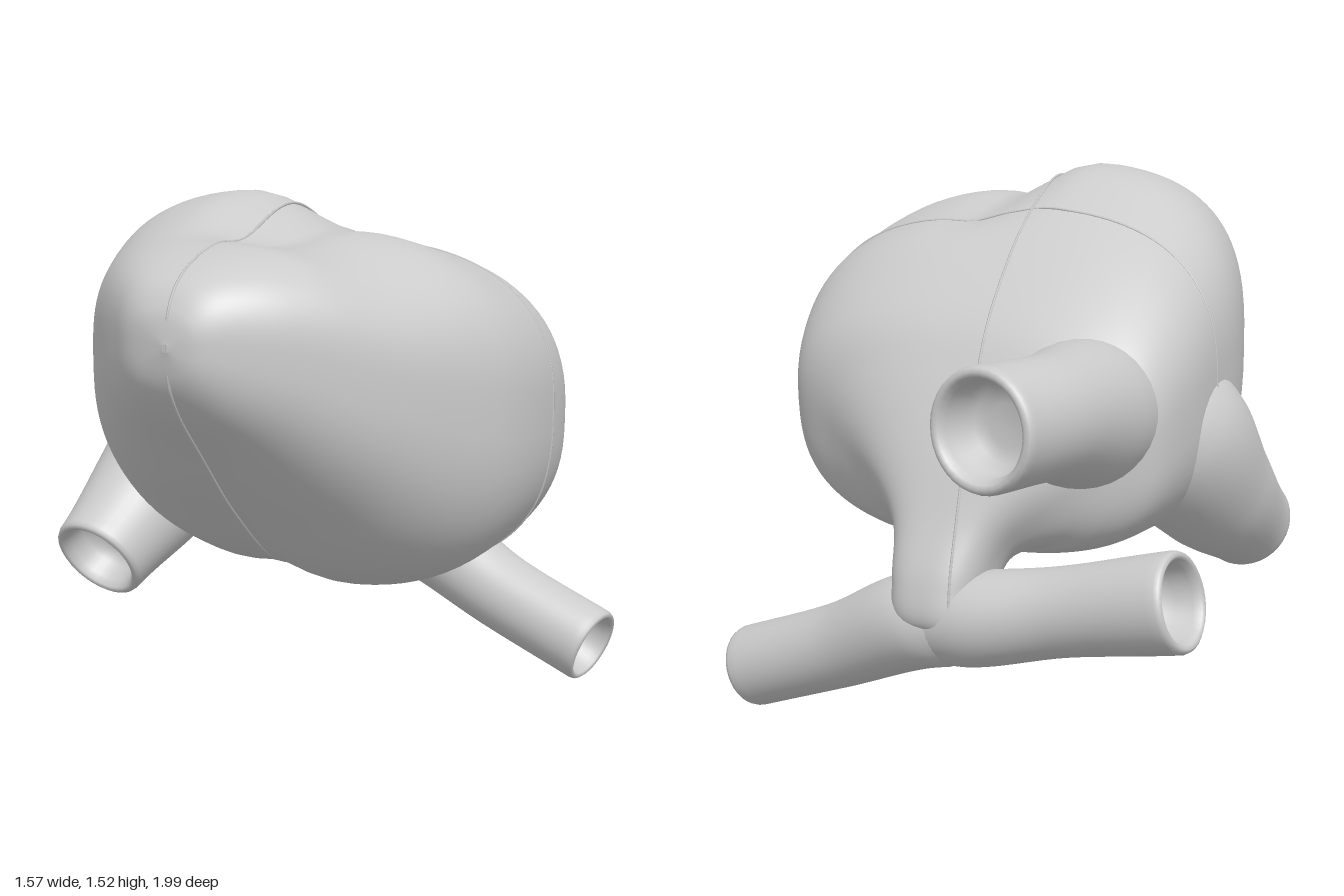
import * as THREE from 'three';

const grey = new THREE.MeshStandardMaterial({ color: 0xcccccc, side: THREE.DoubleSide });
const V = (x, y, z) => new THREE.Vector3(x, y, z);

// Closed-ring skin: at(i, angle) gives a point on ring i
function skin(rows, segs, at) {
  const pos = [], index = [];
  for (let i = 0; i <= rows; i++) {
    for (let j = 0; j < segs; j++) pos.push(...at(i, (j / segs) * Math.PI * 2).toArray());
  }
  for (let i = 0; i < rows; i++) {
    for (let j = 0; j < segs; j++) {
      const a = i * segs + j, c = i * segs + ((j + 1) % segs);
      index.push(a, a + segs, c, c, a + segs, c + segs);
    }
  }
  const g = new THREE.BufferGeometry();
  g.setAttribute('position', new THREE.Float32BufferAttribute(pos, 3));
  g.setIndex(index);
  g.computeVertexNormals();
  return g;
}

// Smooth interpolation through a list of numbers, t in 0..1
function spline(list, t) {
  const n = list.length - 1, f = Math.min(t * n, n - 1e-6), i = Math.floor(f), u = f - i;
  const p = (k) => list[Math.max(0, Math.min(n, k))];
  const m0 = (p(i + 1) - p(i - 1)) / 2, m1 = (p(i + 2) - p(i)) / 2;
  const u2 = u * u, u3 = u2 * u;
  return (2 * u3 - 3 * u2 + 1) * p(i) + (u3 - 2 * u2 + u) * m0 + (3 * u2 - 2 * u3) * p(i + 1) + (u3 - u2) * m1;
}

// Stations from the tip to the back, then tilting down into the trunk:
// top z, top y, bottom z, bottom y, min x, max x
const stations = [
  [1.0, 1.21, 1.0, 1.19, 0.24, 0.26],
  [0.98, 1.29, 0.98, 1.1, 0.12, 0.33],
  [0.92, 1.36, 0.92, 1.01, 0.02, 0.4],
  [0.8, 1.41, 0.8, 0.89, -0.13, 0.5],
  [0.6, 1.45, 0.6, 0.69, -0.33, 0.625],
  [0.4, 1.52, 0.4, 0.51, -0.46, 0.715],
  [0.2, 1.525, 0.2, 0.43, -0.54, 0.775],
  [0.0, 1.44, 0.0, 0.445, -0.575, 0.77],
  [-0.2, 1.33, -0.19, 0.475, -0.59, 0.715],
  [-0.4, 1.17, -0.34, 0.5, -0.57, 0.6],
  [-0.5, 1.03, -0.42, 0.52, -0.48, 0.42],
  [-0.6, 0.84, -0.46, 0.54, -0.36, 0.24],
  [-0.68, 0.66, -0.48, 0.51, -0.23, 0.11],
  [-0.75, 0.5, -0.49, 0.44, -0.19, 0.07],
  [-0.755, 0.38, -0.51, 0.38, -0.18, 0.05],
  [-0.64, 0.33, -0.62, 0.33, -0.08, -0.06],
];
const columns = [0, 1, 2, 3, 4, 5].map((k) => stations.map((s) => s[k]));
const smooth = THREE.MathUtils.smoothstep;
const seamX = (z) => 0.02 + 0.23 * z;

// Point on the two-lobed body; the right lobe is squarer, the left lobe lower
function bodyPoint(t, a) {
  const [zT, yT, zB, yB, x0, x1] = columns.map((c) => spline(c, t));
  const power = Math.cos(a) < 0 ? 0.71 : 0.75;
  const pow = (v) => Math.sign(v) * Math.abs(v) ** power;
  const c = pow(Math.cos(a)), s = pow(Math.sin(a));
  const x = (x0 + x1) / 2 + (c * (x1 - x0)) / 2;
  const z = (zT + zB) / 2 + (s * (zT - zB)) / 2;
  let y = (yT + yB) / 2 + (s * (yT - yB)) / 2;
  const lobes = smooth(z, -0.25, 0.2) * (1 - smooth(z, 0.4, 0.72));
  const furrow = (at, w) => Math.exp(-(((x - at) / w) ** 2));
  y -= Math.max(s, 0) * lobes * (0.09 * smooth(x, -0.05, 0.25) + 0.02 * furrow(0.2, 0.09));
  y += Math.max(-s, 0) * lobes * (0.04 * furrow(0.08, 0.12) + 0.03 * smooth(-x, -0.1, 0.2));
  return V(x, y, z);
}

// Vessel of changing radius with a rounded lip and a hollow end
function vessel(name, points, radii, depth = 0.1) {
  const curve = new THREE.CatmullRomCurve3(points.map((p) => V(...p)));
  const n = 40, frames = curve.computeFrenetFrames(n);
  const rEnd = radii[radii.length - 1];
  const rings = [];
  for (let i = 0; i <= n; i++) rings.push([curve.getPoint(i / n), spline(radii, i / n), i]);
  const end = curve.getPoint(1), dir = frames.tangents[n];
  // lip and bowl: distance beyond the end, radius factor
  [[0.012, 0.97], [0.018, 0.9], [0.012, 0.83], [-0.01, 0.77], [-depth * 0.6, 0.72], [-depth * 0.9, 0.6],
    [-depth, 0.35], [-depth, 0.001]].forEach(([d, f]) =>
    rings.push([end.clone().addScaledVector(dir, d), rEnd * f, n]));
  const at = (i, a) => {
    const [p, r, k] = rings[i];
    return p.clone().addScaledVector(frames.normals[k], r * Math.cos(a))
      .addScaledVector(frames.binormals[k], -r * Math.sin(a));
  };
  const mesh = new THREE.Mesh(skin(rings.length - 1, 36, at), grey);
  mesh.name = name;
  return mesh;
}

// Thin raised seam through a loop of points
function seam(name, points) {
  const curve = new THREE.CatmullRomCurve3(points, true);
  const mesh = new THREE.Mesh(new THREE.TubeGeometry(curve, 160, 0.004, 5, true), grey);
  mesh.name = name;
  return mesh;
}

// Angle at which the body section crosses the lengthwise seam plane
function seamAngle(t, side) {
  let lo = 0, hi = Math.PI;
  for (let i = 0; i < 30; i++) {
    const mid = (lo + hi) / 2, p = bodyPoint(t, side * mid);
    if (p.x > seamX(p.z)) lo = mid; else hi = mid;
  }
  return side * lo;
}

export function createModel() {
  const model = new THREE.Group();
  model.name = 'heart';

  // Main chambers flowing into the trunk at the back
  const body = new THREE.Mesh(skin(130, 96, (i, a) => bodyPoint(i / 130, a)), grey);
  body.name = 'chambersAndTrunk';
  model.add(body);

  // Swelling on the right side that narrows into the front vessel
  model.add(vessel('frontVessel',
    [[-0.34, 1.0, -0.2], [-0.415, 0.82, -0.02], [-0.46, 0.62, 0.18], [-0.462, 0.455, 0.44]],
    [0.12, 0.225, 0.19, 0.142]));

  // Vessel leaving straight to the back
  model.add(vessel('rearVessel',
    [[-0.33, 0.88, -0.1], [-0.375, 0.93, -0.42], [-0.42, 0.975, -0.7], [-0.39, 0.985, -0.95]],
    [0.17, 0.2, 0.162, 0.16]));

  // Two branches at the foot of the trunk
  model.add(vessel('leftBranch',
    [[-0.16, 0.37, -0.63], [0.0, 0.36, -0.63], [0.3, 0.23, -0.605], [0.61, 0.115, -0.595]],
    [0.11, 0.135, 0.12, 0.118]));
  model.add(vessel('rightBranch',
    [[0.02, 0.36, -0.63], [-0.15, 0.385, -0.63], [-0.42, 0.44, -0.605], [-0.75, 0.515, -0.6]],
    [0.11, 0.13, 0.12, 0.133]));

  // Seams across and along the chambers
  const across = [], upper = [], lower = [];
  const crossT = 7.15 / (stations.length - 1);
  for (let i = 0; i < 64; i++) across.push(bodyPoint(crossT, (i / 64) * Math.PI * 2));
  for (let i = 3; i < 48; i++) {
    const t = i / 50;
    upper.push(bodyPoint(t, seamAngle(t, 1)));
    lower.unshift(bodyPoint(t, seamAngle(t, -1)));
  }
  model.add(seam('crossSeam', across), seam('lengthSeam', [...upper, ...lower]));
  return model;
}
